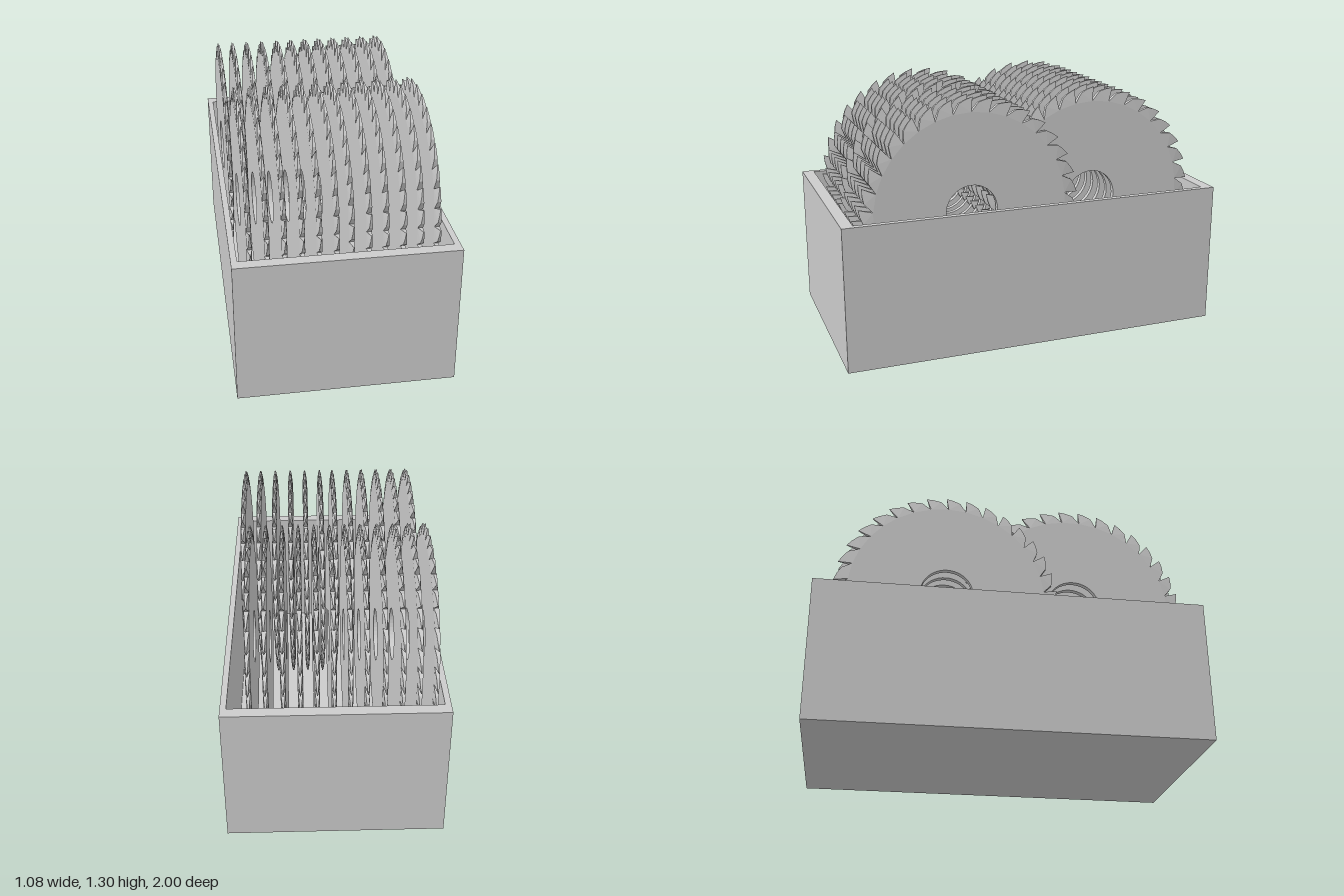
import * as THREE from 'three';
import { mergeGeometries } from 'three/addons/utils/BufferGeometryUtils.js';

const TEETH = 34, STEP = (Math.PI * 2) / TEETH;
const ROOT = 0.5, SHOULDER = 0.547, TIP = 0.572, BORE = 0.134, THICK = 0.026;
const AXLE_Y = 0.733;

const polar = (r, a) => new THREE.Vector2(r * Math.cos(a), r * Math.sin(a));

function extrude(shape) {
  const g = new THREE.ExtrudeGeometry(shape, { depth: THICK, bevelEnabled: false, curveSegments: 20 });
  return g.translate(0, 0, -THICK / 2);
}

// Toothed disc in the x-y plane; tips point clockwise and thin towards the rim
function bladeGeometry() {
  const parts = [];
  const roots = [];
  for (let i = 0; i < TEETH; i++) roots.push(polar(ROOT, Math.PI / 2 + i * STEP));
  const disc = new THREE.Shape(roots);
  disc.holes.push(new THREE.Path().absarc(0, 0, BORE, 0, Math.PI * 2, true));
  parts.push(extrude(disc));

  for (let i = 0; i < TEETH; i++) {
    const a = Math.PI / 2 + i * STEP; // angle of this tooth's front root
    const tooth = extrude(new THREE.Shape([
      polar(ROOT, a),
      polar(TIP, a - 0.1 * STEP),
      polar((SHOULDER + TIP) / 2 + 0.002, a + 0.25 * STEP),
      polar(SHOULDER, a + 0.6 * STEP),
      polar(ROOT, a + STEP),
    ]));
    // taper thickness with radius
    const p = tooth.attributes.position;
    for (let k = 0; k < p.count; k++) {
      const t = (Math.hypot(p.getX(k), p.getY(k)) - ROOT) / (TIP - ROOT);
      p.setZ(k, p.getZ(k) * (1 - 0.85 * THREE.MathUtils.clamp(t, 0, 1) ** 2));
    }
    tooth.computeVertexNormals();
    parts.push(tooth);
  }
  // turn the disc so that its axis lies along x
  return mergeGeometries(parts).rotateY(Math.PI / 2);
}

export function createModel() {
  const model = new THREE.Group();
  model.name = 'bladeBox';
  const material = new THREE.MeshStandardMaterial({ color: 0xcccccc });

  // Open-topped box: walls and floor
  const W = 1.083, H = 0.742, L = 2, WALL_X = 0.03, WALL_Z = 0.06, FLOOR = 0.05;
  const box = new THREE.Group();
  box.name = 'box';
  const outline = (w, l) => [[-w, -l], [w, -l], [w, l], [-w, l]].map(([x, y]) => new THREE.Vector2(x / 2, y / 2));
  const rim = new THREE.Shape(outline(W, L));
  rim.holes.push(new THREE.Path(outline(W - 2 * WALL_X, L - 2 * WALL_Z)));
  const walls = new THREE.Mesh(
    new THREE.ExtrudeGeometry(rim, { depth: H, bevelEnabled: false }).rotateX(-Math.PI / 2), material);
  walls.name = 'walls';
  const floor = new THREE.Mesh(new THREE.BoxGeometry(W - 2 * WALL_X, FLOOR, L - 2 * WALL_Z), material);
  floor.position.y = FLOOR / 2;
  floor.name = 'floor';
  box.add(walls, floor);
  model.add(box);

  // Two interleaved rows of saw blades
  const rows = [
    { name: 'frontBlades', z: 0.332, turned: [0, 6],
      xs: [-0.446, -0.363, -0.28, -0.196, -0.114, -0.031, 0.04, 0.124, 0.205, 0.289, 0.372, 0.454] },
    { name: 'backBlades', z: -0.33, turned: [],
      xs: [-0.482, -0.403, -0.324, -0.24, -0.154, -0.075, 0.004, 0.084, 0.164, 0.246, 0.33, 0.411] },
  ];
  const blade = bladeGeometry();
  for (const { name, z, turned, xs } of rows) {
    const row = new THREE.Group();
    row.name = name;
    xs.forEach((x, i) => {
      const mesh = new THREE.Mesh(blade, material);
      mesh.name = 'sawBlade';
      mesh.position.set(x, AXLE_Y, z);
      // a couple of blades sit slightly rotated
      mesh.rotation.x = turned.includes(i) ? STEP * 0.5 : 0;
      row.add(mesh);
    });
    model.add(row);
  }
  return model;
}
